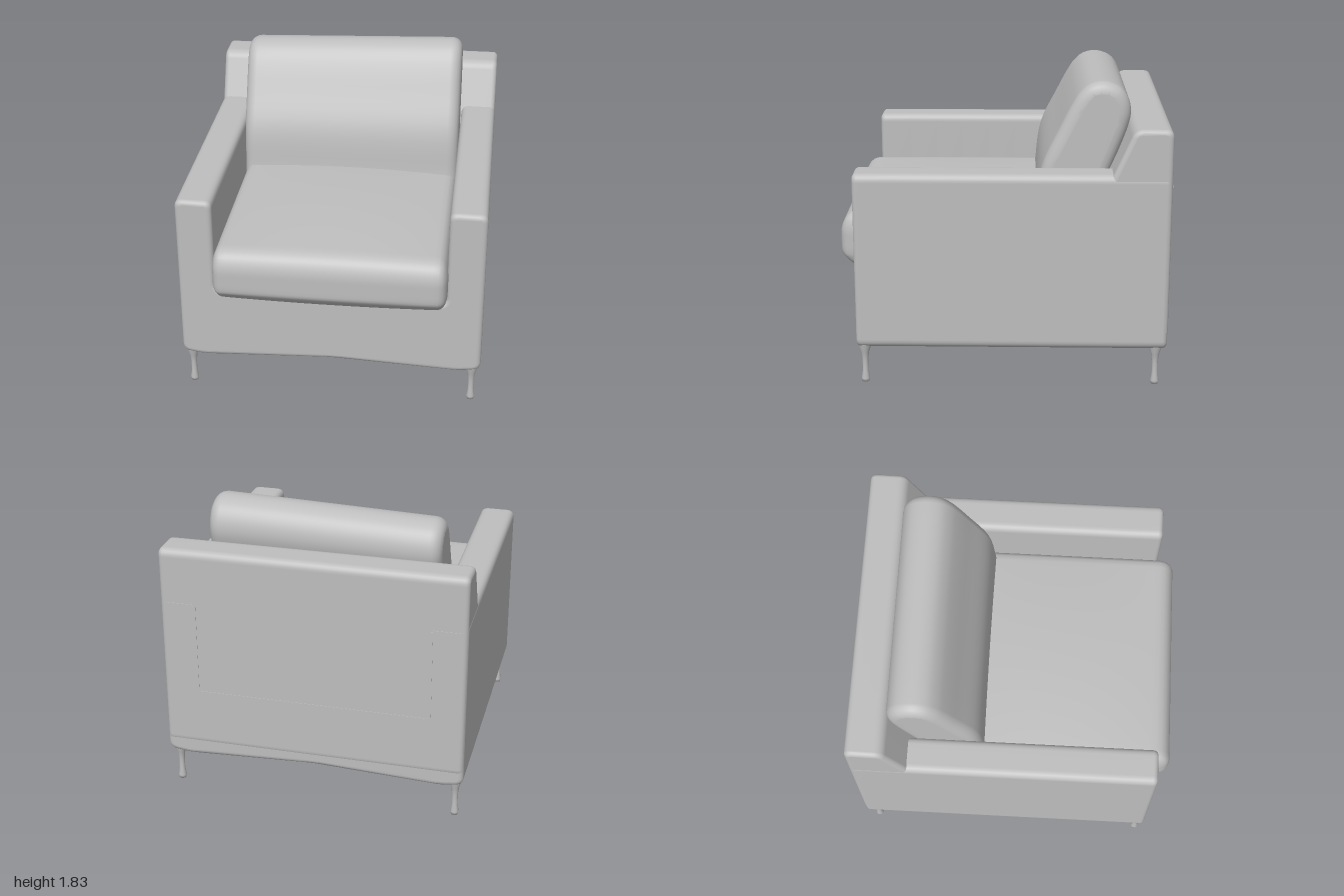
import * as THREE from 'three';
import { mergeVertices } from 'three/addons/utils/BufferGeometryUtils.js';

const fabric = new THREE.MeshStandardMaterial({ color: 0xbebebe });
fabric.name = 'grey fabric';

function part(parent, name, geometry) {
  const mesh = new THREE.Mesh(geometry, fabric);
  mesh.name = name;
  parent.add(mesh);
  return mesh;
}

// Drop seams between faces so that normals blend, weighted by face area
function smooth(geo) {
  geo.deleteAttribute('uv');
  geo.deleteAttribute('normal');
  return mergeVertices(geo, 1e-4);
}

// Move every vertex by a rule
function shapeBy(geo, rule) {
  const pos = geo.attributes.position, p = new THREE.Vector3();
  for (let i = 0; i < pos.count; i++) {
    rule(p.fromBufferAttribute(pos, i));
    pos.setXYZ(i, p.x, p.y, p.z);
  }
  geo.computeVertexNormals();
  return geo;
}

// Polygon outline with softly rounded corners
function roundedShape(points, r) {
  const shape = new THREE.Shape();
  const v = points.map(([x, y]) => new THREE.Vector2(x, y));
  v.forEach((p, i) => {
    const prev = v[(i + v.length - 1) % v.length], next = v[(i + 1) % v.length];
    const a = p.clone().add(prev.clone().sub(p).setLength(r));
    const b = p.clone().add(next.clone().sub(p).setLength(r));
    if (i === 0) shape.moveTo(a.x, a.y); else shape.lineTo(a.x, a.y);
    shape.quadraticCurveTo(p.x, p.y, b.x, b.y);
  });
  shape.closePath();
  return shape;
}

// Upholstered slab: an outline extruded to a total depth, centred
function slab(shape, depth, bevel) {
  const geo = new THREE.ExtrudeGeometry(shape, {
    depth: depth - 2 * bevel, bevelEnabled: true, bevelThickness: bevel,
    bevelSize: bevel, bevelOffset: -bevel, bevelSegments: 5, curveSegments: 6, steps: 10,
  });
  geo.translate(0, 0, -(depth - 2 * bevel) / 2);
  const soft = smooth(geo);
  soft.computeVertexNormals();
  return soft;
}

// Stuffed cushion: a box with elliptical edges, then shaped by a rule
function cushion(size, radii, rule) {
  const n = 32;
  const geo = smooth(new THREE.BoxGeometry(2, 2, 2, n, n, n));
  return shapeBy(geo, (p) => {
    const inner = [], q = new THREE.Vector3();
    for (let k = 0; k < 3; k++) {
      const half = size[k] / 2;
      const c = Math.sin(p.getComponent(k) * Math.PI / 2) * half;
      inner[k] = THREE.MathUtils.clamp(c, radii[k] - half, half - radii[k]);
      q.setComponent(k, (c - inner[k]) / radii[k]);
    }
    q.normalize();
    p.set(inner[0] + q.x * radii[0], inner[1] + q.y * radii[1], inner[2] + q.z * radii[2]);
    rule(p);
  });
}

export function createModel() {
  const chair = new THREE.Group();
  chair.name = 'armchair';

  // Base and both arms as one U-shaped frame, hollowed slightly underneath
  const frame = slab(roundedShape([
    [-0.935, 0.24], [-0.8, 0.22], [0, 0.255], [0.8, 0.22], [0.935, 0.24],
    [0.935, 1.325], [0.71, 1.325], [0.71, 0.7],
    [-0.71, 0.7], [-0.71, 1.315], [-0.935, 1.315],
  ], 0.05), 1.886, 0.03);
  frame.translate(0, 0, -0.053);
  part(chair, 'baseAndArms', frame);

  // Full-width backrest with a sloping front; outline is (-z, y)
  const back = slab(roundedShape([
    [0.19, 0.3], [1, 0.3], [1, 1.6], [0.775, 1.6],
  ], 0.05), 1.866, 0.03);
  back.rotateY(Math.PI / 2);
  part(chair, 'backrest', back);

  // Seat cushion, overhanging the front rail
  const seat = cushion([1.43, 0.36, 1.6], [0.06, 0.14, 0.1], (p) => {
    const s = 1 - (p.x / 0.715) ** 2;
    if (p.y > 0) p.y += 0.035 * s * Math.max(0, 1 - (p.z / 0.8) ** 2);
    else p.y -= 0.02 * s;
    if (p.z > 0.6) p.z -= 0.5 * Math.max(0, -p.y - 0.09);
    p.y += 0.84;
    p.z += 0.195;
  });
  part(chair, 'seatCushion', seat);

  // Leaning back cushion curling over at the top; outline is (-z, y)
  const outline = new THREE.CatmullRomCurve3([
    [0.19, 0.9], [0.195, 1.05], [0.23, 1.31], [0.335, 1.54], [0.41, 1.69], [0.455, 1.76],
    [0.51, 1.81], [0.58, 1.83], [0.65, 1.82], [0.71, 1.785], [0.75, 1.72], [0.763, 1.64],
    [0.745, 1.55], [0.69, 1.4], [0.61, 1.2], [0.56, 1.05], [0.5, 0.9],
  ].map(([u, y]) => new THREE.Vector3(u, y, 0)), true);
  const points = outline.getPoints(68).slice(0, -1).map((p) => new THREE.Vector2(p.x, p.y));
  const pillow = slab(new THREE.Shape(points), 1.42, 0.07);
  pillow.rotateY(Math.PI / 2);
  shapeBy(pillow, (p) => {
    const t = (p.y - 0.9) / 0.93;
    p.y += t * (0.035 * p.x - 0.02);
    p.x -= 0.01 * t;
  });
  part(chair, 'backCushion', pillow);

  // Raised seams on the rear panel
  const seams = new THREE.Group();
  seams.name = 'rearSeams';
  chair.add(seams);
  const seam = (name, w, h, x, y) =>
    part(seams, name, new THREE.BoxGeometry(w, h, 0.008)).position.set(x, y, -0.999);
  seam('lowerSeam', 1.44, 0.02, 0, 0.67);
  for (const s of [-1, 1]) {
    seam('sideSeam', 0.02, 0.58, s * 0.72, 0.96);
    seam('armSeam', 0.17, 0.02, s * 0.815, 1.25);
  }

  // Slim legs flaring into the base
  const profile = [[0, 0], [0.022, 0], [0.026, 0.02], [0.018, 0.07], [0.018, 0.14],
    [0.024, 0.19], [0.04, 0.24], [0.045, 0.29]].map(([x, y]) => new THREE.Vector2(x, y));
  const legGeo = new THREE.LatheGeometry(profile, 14);
  for (const x of [-0.88, 0.88]) {
    part(chair, 'frontLeg', legGeo).position.set(x, 0, 0.842);
    part(chair, 'backLeg', legGeo).position.set(x, 0, -0.93);
  }
  return chair;
}
